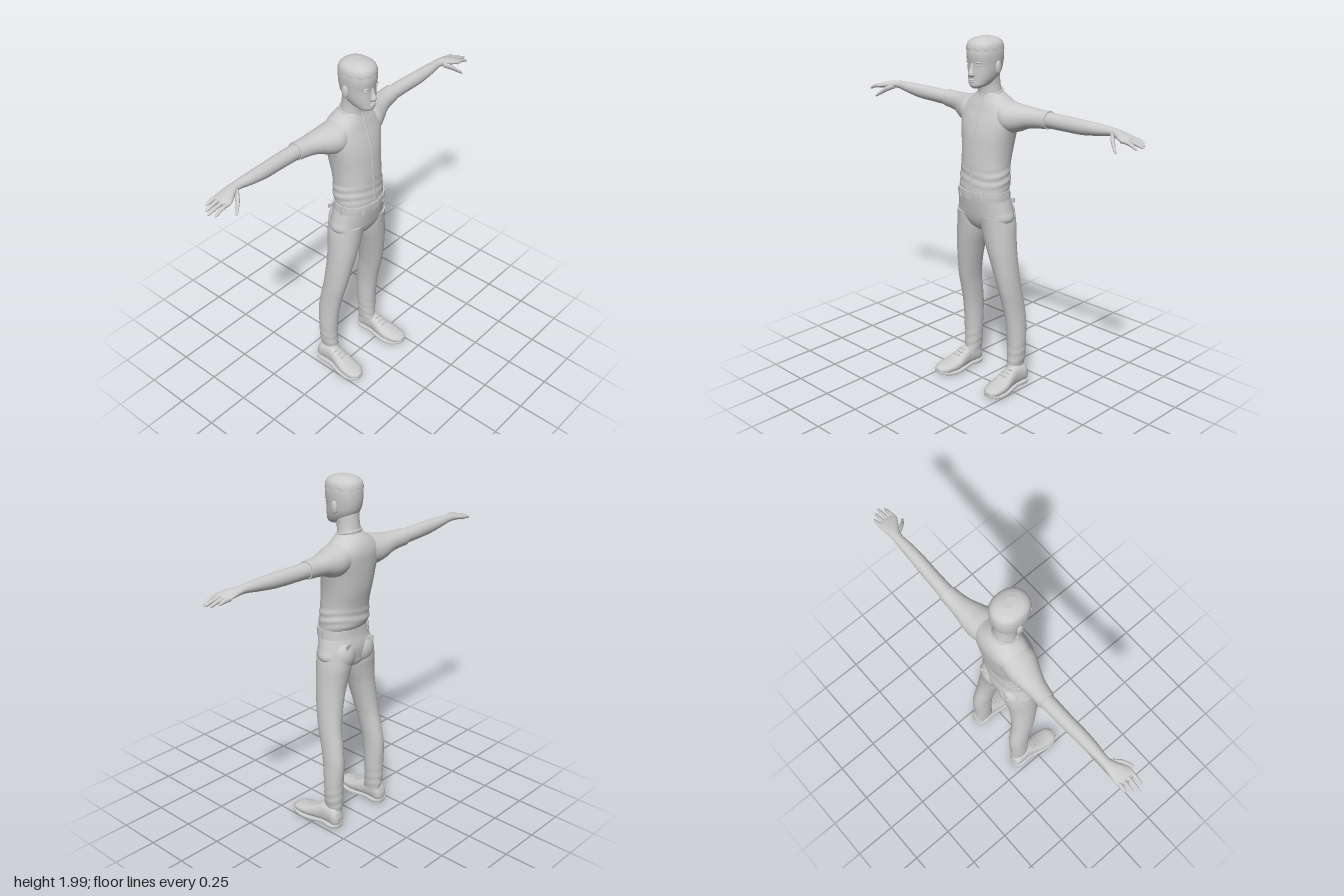
import * as THREE from 'three';

// Skin of superellipse rings along an axis. Each section is [t, uMin, uMax, vMin, vMax];
// axis x: u = y, v = z; axis y: u = z, v = x; axis z: u = x, v = y.
function loft(axis, sections, { power = 2, sides = 32, steps = 4, fold = () => 1 } = {}) {
  const a = 'xyz'.indexOf(axis), u = (a + 1) % 3, v = (a + 2) % 3;
  const times = sections.map((s) => s[0]);
  const curve = new THREE.CubicInterpolant(times, sections.flatMap((s) => s.slice(1)), 4);
  const rows = [];
  for (let i = 0; i < times.length - 1; i++) {
    for (let k = 0; k < steps; k++) rows.push(THREE.MathUtils.lerp(times[i], times[i + 1], k / steps));
  }
  rows.push(times[times.length - 1]);
  const pos = [], index = [];
  const bend = (c) => Math.sign(c) * Math.abs(c) ** (2 / power);
  const add = (t, pu, pv) => {
    const p = [0, 0, 0];
    p[a] = t; p[u] = pu; p[v] = pv;
    pos.push(...p);
  };
  const ring = (t) => {
    const [u0, u1, v0, v1] = curve.evaluate(t);
    for (let j = 0; j < sides; j++) {
      const angle = (j / sides) * Math.PI * 2, f = fold(t, angle);
      add(t, (u0 + u1) / 2 + bend(Math.cos(angle)) * f * (u1 - u0) / 2,
        (v0 + v1) / 2 + bend(Math.sin(angle)) * f * (v1 - v0) / 2);
    }
    return [(u0 + u1) / 2, (v0 + v1) / 2];
  };
  rows.forEach((t, i) => {
    ring(t);
    if (!i) return;
    for (let j = 0; j < sides; j++) {
      const n = (j + 1) % sides, lo = (i - 1) * sides, hi = i * sides;
      index.push(lo + j, lo + n, hi + n, lo + j, hi + n, hi + j);
    }
  });
  // end caps with their own vertices
  for (const end of [0, rows.length - 1]) {
    const start = pos.length / 3, c = ring(rows[end]), mid = start + sides;
    add(rows[end], c[0], c[1]);
    for (let j = 0; j < sides; j++) {
      const n = start + (j + 1) % sides;
      index.push(mid, ...(end ? [start + j, n] : [n, start + j]));
    }
  }
  const geo = new THREE.BufferGeometry();
  geo.setAttribute('position', new THREE.Float32BufferAttribute(pos, 3));
  geo.setIndex(index);
  geo.computeVertexNormals();
  return geo;
}

// Copy across the x = 0 plane, keeping faces outward
function mirrored(geo) {
  const g = geo.clone().scale(-1, 1, 1);
  const ix = g.index.array;
  for (let i = 0; i < ix.length; i += 3) [ix[i], ix[i + 1]] = [ix[i + 1], ix[i]];
  g.computeVertexNormals();
  return g;
}

const sym = (rows) => rows.map(([t, z0, z1, w]) => [t, z0, z1, -w, w]);
const ball = (x, y, z, rx, ry, rz) =>
  new THREE.SphereGeometry(1, 20, 14).scale(rx, ry, rz).translate(x, y, z);

export function createModel() {
  const model = new THREE.Group();
  const grey = new THREE.MeshStandardMaterial({ color: 0xcccccc });
  grey.name = 'plain grey';
  const add = (name, geo) => {
    const mesh = new THREE.Mesh(geo, grey);
    mesh.name = name;
    model.add(mesh);
  };
  const pair = (name, geo) => {
    add(name + 'Left', geo);
    add(name + 'Right', mirrored(geo));
  };

  // Head and neck
  add('head', loft('y', sym([
    [1.726, 0.025, 0.066, 0.02], [1.738, -0.02, 0.079, 0.042], [1.765, -0.07, 0.08, 0.062],
    [1.80, -0.105, 0.079, 0.075], [1.85, -0.121, 0.078, 0.083], [1.90, -0.124, 0.084, 0.088],
    [1.93, -0.12, 0.08, 0.085], [1.96, -0.10, 0.06, 0.066], [1.975, -0.06, 0.02, 0.03],
  ]), { power: 2.2 }));
  add('neck', loft('y', sym([
    [1.64, -0.13, 0.01, 0.075], [1.70, -0.118, 0.008, 0.064],
    [1.74, -0.112, 0.015, 0.059], [1.80, -0.108, 0.04, 0.06],
  ])));
  add('hair', loft('y', sym([
    [1.922, -0.125, 0.084, 0.088], [1.945, -0.122, 0.082, 0.086], [1.965, -0.112, 0.071, 0.077],
    [1.982, -0.085, 0.045, 0.053], [1.99, -0.055, 0.015, 0.025],
  ]), { sides: 48, power: 2.2, fold: (t, a) => 1 + 0.012 * Math.sin(a * 37 + t * 900) }));

  // Face
  add('nose', loft('y', sym([
    [1.788, 0.065, 0.09, 0.012], [1.797, 0.065, 0.1, 0.018], [1.808, 0.065, 0.102, 0.016],
    [1.83, 0.065, 0.091, 0.01], [1.862, 0.065, 0.081, 0.008],
  ]), { sides: 16 }));
  add('upperLip', ball(0, 1.772, 0.079, 0.022, 0.005, 0.008));
  add('lowerLip', ball(0, 1.763, 0.078, 0.019, 0.006, 0.008));
  pair('eye', ball(0.034, 1.848, 0.066, 0.014, 0.006, 0.007));
  pair('brow', ball(0.036, 1.865, 0.068, 0.02, 0.005, 0.009));
  pair('ear', ball(0.086, 1.835, -0.03, 0.011, 0.036, 0.02).rotateX(0));

  // Shirt, with soft folds at the waist
  const torso = [
    [1.165, -0.12, 0.096, 0.147], [1.20, -0.135, 0.095, 0.15], [1.25, -0.135, 0.09, 0.148],
    [1.30, -0.14, 0.088, 0.143], [1.40, -0.16, 0.08, 0.15], [1.48, -0.168, 0.07, 0.165],
    [1.55, -0.172, 0.052, 0.182], [1.60, -0.172, 0.034, 0.18], [1.64, -0.162, 0.021, 0.145],
    [1.67, -0.145, 0.01, 0.10], [1.695, -0.122, 0.003, 0.07],
  ];
  add('shirt', loft('y', sym(torso), {
    power: 2.2, sides: 48, steps: 6,
    fold: (t, a) => 1 + 0.018 * Math.exp(-(((t - 1.24) / 0.05) ** 2)) * Math.sin(t * 130 + 2 * Math.sin(a * 2)),
  }));
  add('shirtPlacket', loft('y', torso.map(([t, , z]) => [t, z - 0.012, z + 0.004, -0.004, 0.014]), { power: 6, sides: 16 }));
  add('collar', new THREE.TorusGeometry(1, 0.07, 10, 40).rotateX(Math.PI / 2)
    .scale(0.07, 0.09, 0.063).rotateX(0.26).translate(0, 1.695, -0.057));
  pair('sleeve', loft('x', [
    [0.06, 1.51, 1.665, -0.155, 0.0], [0.14, 1.49, 1.655, -0.166, 0.018], [0.20, 1.503, 1.645, -0.165, -0.005],
    [0.25, 1.525, 1.64, -0.16, -0.03], [0.30, 1.535, 1.636, -0.156, -0.048], [0.375, 1.541, 1.637, -0.155, -0.062],
  ], { power: 2.1 }));

  // Arms, fingers and thumbs
  pair('arm', loft('x', [
    [0.36, 1.547, 1.63, -0.15, -0.067], [0.50, 1.55, 1.632, -0.145, -0.069], [0.60, 1.554, 1.632, -0.14, -0.067],
    [0.70, 1.568, 1.63, -0.135, -0.071], [0.79, 1.582, 1.625, -0.13, -0.078], [0.83, 1.58, 1.621, -0.133, -0.06],
    [0.87, 1.576, 1.612, -0.136, -0.036], [0.90, 1.574, 1.603, -0.135, -0.03], [0.912, 1.58, 1.597, -0.125, -0.04],
  ]));
  const fingers = [['little', -0.125, 0.958, 1.578], ['ring', -0.099, 0.985, 1.572],
    ['middle', -0.071, 0.998, 1.57], ['index', -0.042, 0.98, 1.566]];
  for (const [name, z, tip, y] of fingers) {
    const at = (x, cy, r) => [x, cy - r, cy + r, z - r, z + r];
    pair(name + 'Finger', loft('x', [
      at(0.885, 1.588, 0.011), at(0.92, 1.586, 0.0105), at((0.92 + tip) / 2, (1.586 + y) / 2, 0.009),
      at(tip - 0.01, y, 0.007), at(tip, y - 0.002, 0.002),
    ], { sides: 12 }));
  }
  pair('thumb', loft('x', [
    [0.80, 1.582, 1.61, -0.095, -0.065], [0.83, 1.565, 1.597, -0.065, -0.03],
    [0.86, 1.545, 1.568, -0.03, -0.008], [0.88, 1.533, 1.548, -0.012, 0.002], [0.886, 1.533, 1.539, -0.007, 0],
  ], { sides: 14 }));

  // Belt with loops
  add('belt', loft('y', sym([[1.122, -0.128, 0.1, 0.156], [1.145, -0.126, 0.102, 0.155], [1.17, -0.125, 0.102, 0.153]]),
    { power: 2.3, sides: 48 }));
  add('beltBuckle', new THREE.BoxGeometry(0.05, 0.042, 0.008).translate(0, 1.146, 0.102));
  for (const angle of [0.55, 1.5, 2.5]) {
    pair('beltLoop', new THREE.BoxGeometry(0.012, 0.054, 0.008).rotateY(angle)
      .translate(Math.sin(angle) * 0.157, 1.146, -0.012 + Math.cos(angle) * 0.116));
  }

  // Trousers, with creases gathering towards the cuffs
  add('trouserSeat', loft('y', sym([
    [0.935, -0.085, 0.03, 0.03], [0.955, -0.115, 0.05, 0.10], [1.0, -0.128, 0.072, 0.178],
    [1.06, -0.134, 0.085, 0.171], [1.13, -0.122, 0.096, 0.153],
  ]), { power: 2.2, sides: 40 }));
  pair('buttock', ball(0.073, 1.025, -0.085, 0.075, 0.085, 0.059));
  pair('backPocketFlap', new THREE.BoxGeometry(0.075, 0.025, 0.008).rotateX(0.06).rotateY(0.3).translate(0.075, 1.085, -0.127));
  pair('trouserLeg', loft('y', [
    [0.09, -0.15, -0.04, 0.13, 0.202], [0.15, -0.155, -0.045, 0.125, 0.215], [0.25, -0.158, -0.045, 0.12, 0.222],
    [0.40, -0.164, -0.03, 0.118, 0.217], [0.50, -0.15, -0.01, 0.11, 0.213], [0.60, -0.131, 0.015, 0.098, 0.21],
    [0.80, -0.118, 0.05, 0.048, 0.198], [0.90, -0.125, 0.062, 0.014, 0.19],
    [0.96, -0.133, 0.068, 0.0, 0.184], [1.03, -0.134, 0.076, 0.005, 0.172],
  ], {
    power: 2.1, steps: 7,
    fold: (t, a) => 1 + 0.03 * Math.exp(-(((t - 0.18) / 0.1) ** 2)) * Math.sin(t * 120 + 2 * Math.sin(a + 1)),
  }));

  // Shoes with sole, heel and laces
  pair('shoe', loft('z', [
    [-0.16, 0.165, 0.205, 0.03, 0.065], [-0.15, 0.15, 0.22, 0.012, 0.10], [-0.10, 0.143, 0.226, 0.01, 0.125],
    [-0.05, 0.143, 0.227, 0.01, 0.125], [0.0, 0.136, 0.238, 0.01, 0.104], [0.05, 0.132, 0.25, 0.01, 0.082],
    [0.10, 0.138, 0.253, 0.012, 0.069], [0.14, 0.152, 0.246, 0.016, 0.061], [0.167, 0.182, 0.222, 0.026, 0.046],
  ], { power: 2.3 }));
  pair('sole', loft('z', [
    [-0.162, 0.165, 0.205, 0.012, 0.024], [-0.145, 0.142, 0.228, 0.01, 0.026], [-0.05, 0.139, 0.232, 0.01, 0.026],
    [0.0, 0.132, 0.243, 0.003, 0.022], [0.06, 0.126, 0.255, 0.0, 0.02], [0.11, 0.134, 0.256, 0.003, 0.023],
    [0.15, 0.156, 0.243, 0.012, 0.03], [0.17, 0.185, 0.22, 0.02, 0.034],
  ], { power: 5 }));
  pair('heel', loft('y', [[0, -0.158, -0.07, 0.142, 0.228], [0.02, -0.16, -0.065, 0.14, 0.23]], { power: 3 }));
  for (let i = 0; i < 3; i++) {
    pair('lace', new THREE.CapsuleGeometry(0.004, 0.042, 4, 8).rotateZ(Math.PI / 2)
      .translate(0.188, 0.115 - i * 0.011, -0.022 + i * 0.024));
  }
  return model;
}
